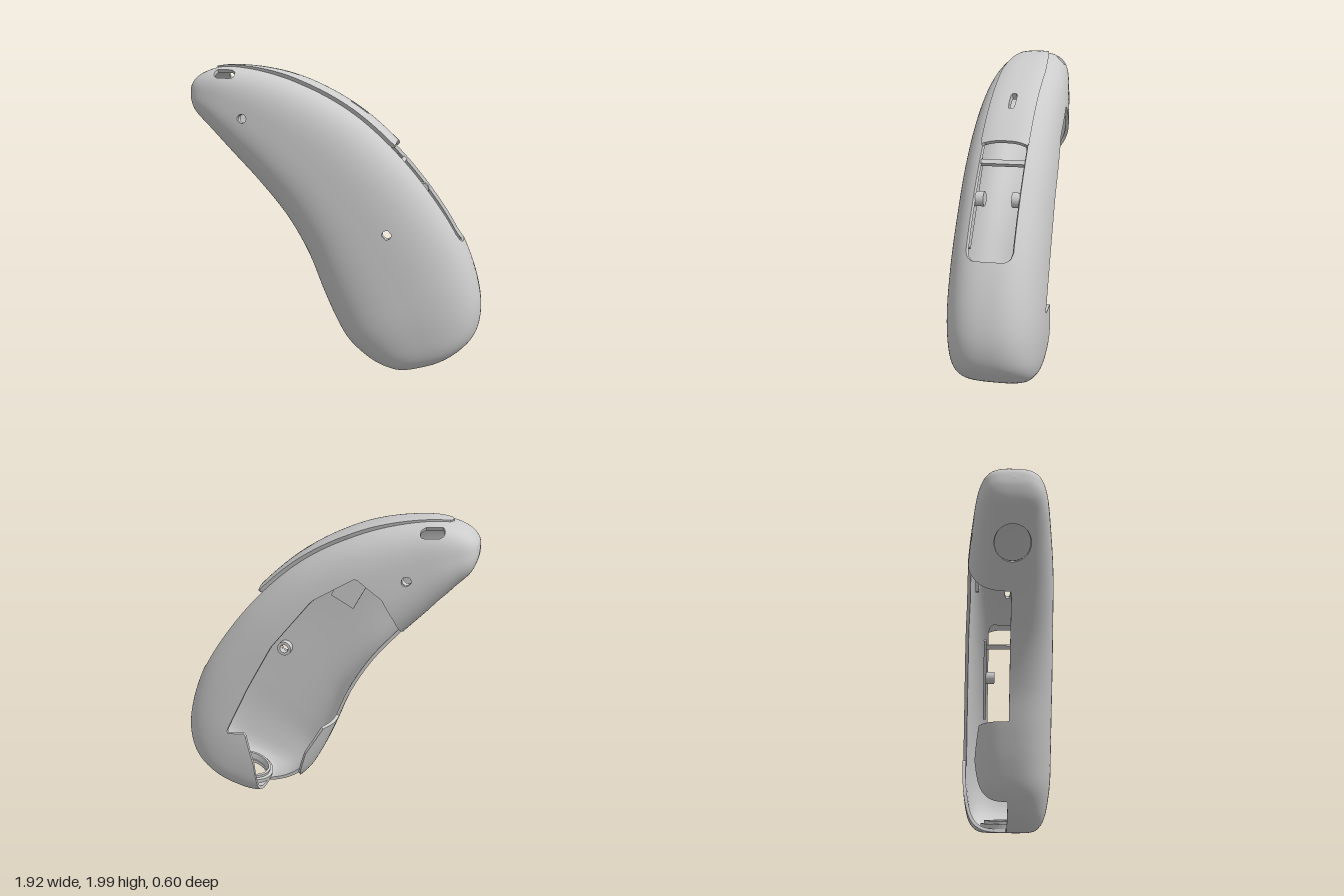
import * as THREE from 'three';

// Paired stations from nose to base: [convex x, y, concave x, y, half depth]
const STATIONS = [
  [-0.964, 1.82, -0.964, 1.82, 0], [-0.948, 1.88, -0.957, 1.755, 0.11], [-0.89, 1.935, -0.925, 1.68, 0.17],
  [-0.75, 1.98, -0.84, 1.59, 0.215], [-0.5, 1.965, -0.69, 1.43, 0.25], [-0.2, 1.88, -0.5, 1.23, 0.28],
  [0.12, 1.71, -0.32, 1.01, 0.293], [0.4, 1.47, -0.18, 0.77, 0.3], [0.64, 1.19, -0.08, 0.52, 0.3],
  [0.82, 0.91, 0.0, 0.34, 0.3], [0.93, 0.62, 0.08, 0.2, 0.298], [0.957, 0.42, 0.16, 0.12, 0.285],
  [0.925, 0.27, 0.25, 0.055, 0.265], [0.84, 0.165, 0.33, 0.02, 0.235], [0.73, 0.09, 0.41, 0.002, 0.18],
  [0.57, 0.045, 0.57, 0.045, 0],
];
// Region cut away from the back half; a short strip stays along the lower concave edge
const BACK_CUT = [
  [-0.7, 1.1], [-0.55, 1.25], [-0.5, 1.4], [-0.43, 1.53], [-0.27, 1.65], [0, 1.49], [0.27, 1.16], [0.44, 0.85],
  [0.61, 0.5], [0.47, 0.52], [0.42, 0.28], [0.4, -0.2], [0.2, -0.2], [0.14, 0.15], [0.07, 0.38],
  [-0.05, 0.58], [-0.4, 0.62],
];
const ROWS = 140, COLS = 160, POWER = 2.8;

// Body surface: rounded-square sections swept between the two profile curves
function bodySurface() {
  const curve = (f) => new THREE.CatmullRomCurve3(STATIONS.map(f), false, 'centripetal');
  const convex = curve((s) => new THREE.Vector3(s[0], s[1], s[4]));
  const concave = curve((s) => new THREE.Vector3(s[2], s[3], s[4]));
  const pos = [], index = [];
  const last = 1 + (ROWS - 1) * COLS;
  const id = (i, j) => (i === 0 ? 0 : i === ROWS ? last : 1 + (i - 1) * COLS + (j % COLS));
  for (let i = 0; i <= ROWS; i++) {
    const a = convex.getPoint(i / ROWS), b = concave.getPoint(i / ROWS);
    const pole = i === 0 || i === ROWS;
    for (let j = 0; j < (pole ? 1 : COLS); j++) {
      const c = Math.cos((j / COLS) * Math.PI * 2), s = Math.sin((j / COLS) * Math.PI * 2);
      const r = (Math.abs(c) ** POWER + Math.abs(s) ** POWER) ** (-1 / POWER);
      const k = (1 + c * r) / 2;
      pos.push(b.x + (a.x - b.x) * k, b.y + (a.y - b.y) * k, pole ? 0 : ((a.z + b.z) / 2) * s * r);
    }
  }
  for (let i = 0; i < ROWS; i++) {
    for (let j = 0; j < COLS; j++) {
      if (i > 0) index.push(id(i, j), id(i, j + 1), id(i + 1, j));
      if (i < ROWS - 1) index.push(id(i, j + 1), id(i + 1, j + 1), id(i + 1, j));
    }
  }
  const geo = new THREE.BufferGeometry();
  geo.setAttribute('position', new THREE.Float32BufferAttribute(pos, 3));
  geo.setIndex(index);
  geo.computeVertexNormals();
  return geo;
}

// Thick sheet on the surface where keep(p) > 0, with walls along every cut edge;
// rise(p) is its height above the surface, depth its reach below
function thickSheet(surface, rise, depth, keep) {
  const P = surface.attributes.position, N = surface.attributes.normal, idx = surface.index.array;
  const verts = [];
  for (let i = 0; i < P.count; i++) {
    const p = new THREE.Vector3().fromBufferAttribute(P, i);
    verts.push({ p, n: new THREE.Vector3().fromBufferAttribute(N, i), f: keep(p) });
  }
  const pos = [], nor = [];
  const outer = (v) => v.p.clone().addScaledVector(v.n, rise(v.p));
  const inner = (v) => v.p.clone().addScaledVector(v.n, -depth);
  const tri = (pts, ns) => pts.forEach((p, k) => { pos.push(p.x, p.y, p.z); nor.push(ns[k].x, ns[k].y, ns[k].z); });
  const flat = (a, b, c) => {
    const n = b.clone().sub(a).cross(c.clone().sub(a)).normalize();
    tri([a, b, c], [n, n, n]);
  };
  for (let t = 0; t < idx.length; t += 3) {
    const poly = [], cut = [];
    for (let k = 0; k < 3; k++) {
      const a = verts[idx[t + k]], b = verts[idx[t + (k + 1) % 3]];
      if (a.f > 0) poly.push(a);
      if ((a.f > 0) !== (b.f > 0)) {
        const w = a.f / (a.f - b.f);
        const v = { p: a.p.clone().lerp(b.p, w), n: a.n.clone().lerp(b.n, w).normalize() };
        poly.push(v);
        cut[a.f > 0 ? 0 : 1] = v;
      }
    }
    for (let k = 1; k + 1 < poly.length; k++) {
      const [a, b, c] = [poly[0], poly[k], poly[k + 1]];
      tri([a, b, c].map(outer), [a.n, b.n, c.n]);
      tri([a, c, b].map(inner), [a, c, b].map((v) => v.n.clone().negate()));
    }
    if (cut[0] && cut[1]) {
      const [x, y] = cut;
      flat(outer(x), inner(x), inner(y));
      flat(outer(x), inner(y), outer(y));
    }
  }
  const geo = new THREE.BufferGeometry();
  geo.setAttribute('position', new THREE.Float32BufferAttribute(pos, 3));
  geo.setAttribute('normal', new THREE.Float32BufferAttribute(nor, 3));
  return geo;
}

// Signed distances, negative inside
function roundBox(u, v, hu, hv, r) {
  const a = Math.abs(u) - hu + r, b = Math.abs(v) - hv + r;
  return Math.hypot(Math.max(a, 0), Math.max(b, 0)) + Math.min(Math.max(a, b), 0) - r;
}
function polygon(x, y, pts) {
  let d = Infinity, inside = false;
  pts.forEach(([ax, ay], i) => {
    const [bx, by] = pts[(i + 1) % pts.length];
    const ex = bx - ax, ey = by - ay;
    const k = Math.min(1, Math.max(0, ((x - ax) * ex + (y - ay) * ey) / (ex * ex + ey * ey)));
    d = Math.min(d, Math.hypot(x - ax - ex * k, y - ay - ey * k));
    if ((ay > y) !== (by > y) && x < ax + (ex * (y - ay)) / ey) inside = !inside;
  });
  return inside ? -d : d;
}
const slot = (p) => Math.max(roundBox(p.y - 1.7, p.z, 0.04, 0.02, 0.012), -p.x);

function shellKeep(p) {
  const { x, y, z } = p, side = 0.1 - Math.abs(z);
  const along = (x + 0.75) * 0.69 - (y - 1.49) * 0.72;
  return Math.min(
    Math.max(z, polygon(x, y, BACK_CUT)), // open back
    Math.max(roundBox(y - 1.2, z, 0.32, 0.14, 0.05), 0.2 - x), // window
    Math.max(Math.hypot(x - 0.57, z) - 0.13, y - 0.25), // base hole
    Math.max(Math.hypot(along, z) - 0.115, x + y - 0.95), // nose hole
    Math.max(roundBox(x + 0.7, y - 1.93 + 0.05 * (x + 0.7), 0.07, 0.027, 0.026), side), // side slots
    Math.max(Math.hypot(x + 0.57, y - 1.65) - 0.03, side),
    Math.max(Math.hypot(x - 0.36, y - 0.94) - 0.03, side),
    slot(p),
  );
}
// Panel outline narrows to a rounded tip near the nose
function panelKeep(p) {
  const half = 0.14 * Math.min(1, Math.max(0, (p.x + 0.8) / 0.6)) ** 0.3;
  return Math.min(half - Math.abs(p.z), p.x + 0.8, 0.38 - p.x, p.y - 1.75 + 0.75 * (p.x + 0.9), slot(p));
}
const panelRise = (p) => 0.01 + 0.015 * THREE.MathUtils.smoothstep(p.x, -0.8, -0.2);

export function createModel() {
  const group = new THREE.Group();
  const material = new THREE.MeshStandardMaterial({ color: 0xcccccc, side: THREE.DoubleSide });
  const add = (name, geo, x = 0, y = 0, z = 0, turn = 0) => {
    const mesh = new THREE.Mesh(geo, material);
    mesh.name = name;
    mesh.position.set(x, y, z);
    mesh.rotation.z = turn;
    group.add(mesh);
    return mesh;
  };
  const collar = (inner, outer, h) => {
    const profile = [[inner, 0], [outer, 0], [outer, h], [inner, h], [inner, 0]];
    const geo = new THREE.LatheGeometry(profile.map(([r, y]) => new THREE.Vector2(r, y)), 40).toNonIndexed();
    geo.computeVertexNormals();
    return geo;
  };

  // Hollow body and the raised panel on its convex edge
  const surface = bodySurface();
  add('bodyShell', thickSheet(surface, () => 0, 0.022, shellKeep));
  add('backPanel', thickSheet(surface, panelRise, 0, panelKeep));

  // Stepped seat around the base hole and collar behind the nose hole
  add('baseSeat', collar(0.13, 0.17, 0.03), 0.565, 0.07, 0, 0.28);
  add('baseSeatLip', collar(0.13, 0.147, 0.05), 0.565, 0.07, 0, 0.28);
  add('noseCollar', collar(0.115, 0.14, 0.015), -0.728, 1.512, 0, -0.8);

  // Pivot pins on rails beside the window, and the crossbar above them
  for (const s of [-1, 1]) {
    add('pivotPin', new THREE.CylinderGeometry(0.045, 0.045, 0.07, 24), 0.55, 1.18, s * 0.12).rotation.x = Math.PI / 2;
    add('windowRail', new THREE.BoxGeometry(0.58, 0.07, 0.02), 0.525, 1.155, s * 0.155, -0.95);
  }
  add('crossbar', new THREE.BoxGeometry(0.03, 0.03, 0.3), 0.425, 1.375, 0, 0.75);

  // Screw bosses behind the small side holes and the tab at the back opening
  for (const [x, y, z, s] of [[0.36, 0.94, 0.28, 1], [-0.57, 1.65, 0.23, 1], [-0.57, 1.65, 0.23, -1]]) {
    add('screwBoss', collar(0.03, 0.05, 0.05), x, y, s * z).rotation.x = -s * Math.PI / 2;
  }
  add('innerTab', new THREE.BoxGeometry(0.16, 0.22, 0.025), -0.23, 1.58, -0.215, 0.5);
  return group;
}
